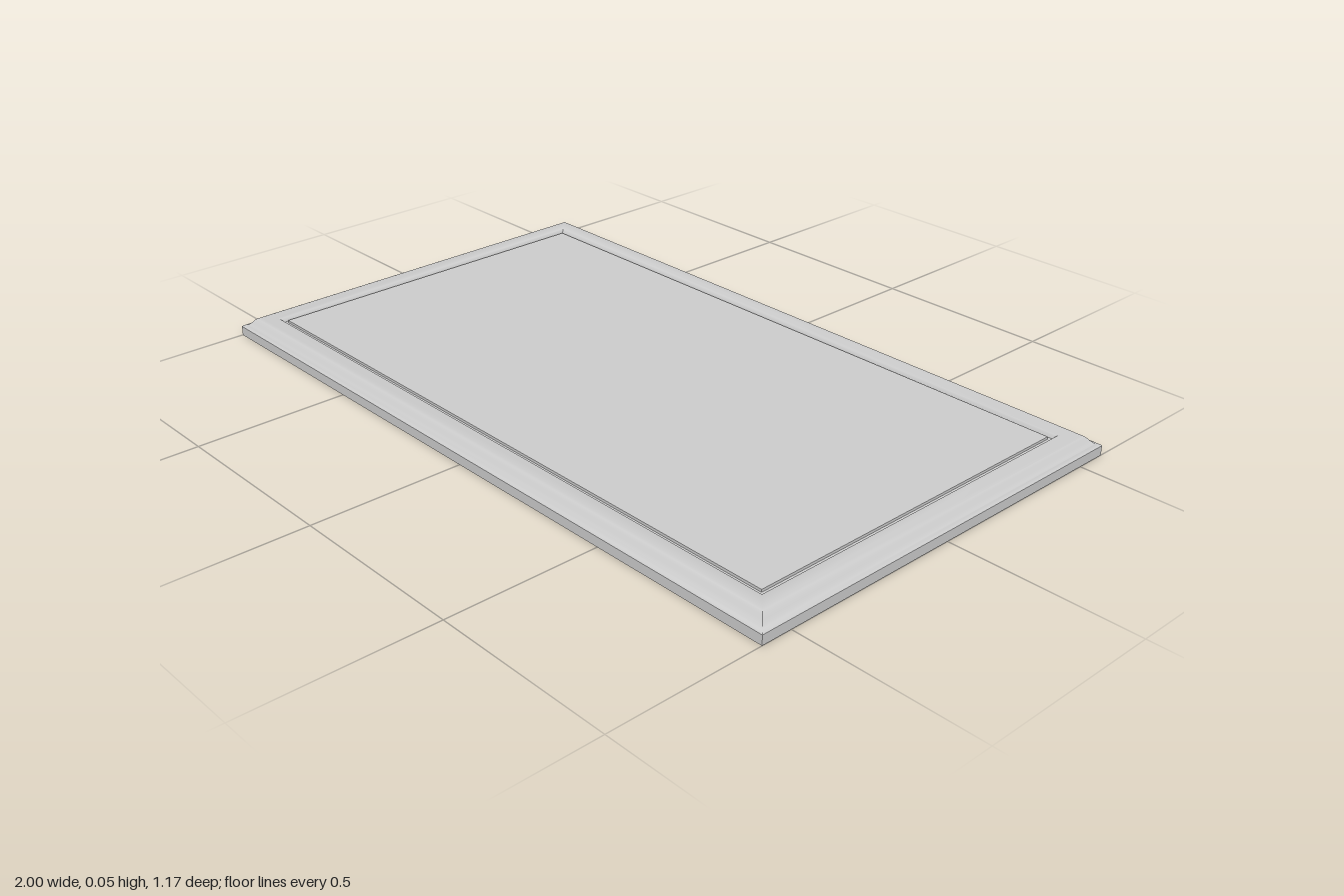
import * as THREE from 'three';
import { toCreasedNormals } from 'three/addons/utils/BufferGeometryUtils.js';

const HALF_X = 1, HALF_Z = 0.585;

// Moulding cross-section: [inset from the outer edge, height]
const PROFILE = [
  [0.096, 0], [0, 0], [0, 0.026], [0.003, 0.029], [0.011, 0.031],
  [0.016, 0.034], [0.022, 0.040], [0.028, 0.047], [0.033, 0.051], [0.040, 0.053],
  [0.071, 0.053], [0.076, 0.051], [0.080, 0.047], [0.083, 0.040], [0.096, 0.040],
];

// Sweep the profile round a rectangle with mitred corners
function mitredFrame(profile) {
  const corners = [[1, 1], [1, -1], [-1, -1], [-1, 1]];
  const point = (c, [inset, y]) => [c[0] * (HALF_X - inset), y, c[1] * (HALF_Z - inset)];
  const positions = [];
  for (let s = 0; s < 4; s++) {
    const c0 = corners[s], c1 = corners[(s + 1) % 4];
    for (let i = 0; i < profile.length - 1; i++) {
      const a = point(c0, profile[i]), b = point(c1, profile[i]);
      const c = point(c1, profile[i + 1]), d = point(c0, profile[i + 1]);
      positions.push(...a, ...b, ...c, ...a, ...c, ...d);
    }
  }
  const geometry = new THREE.BufferGeometry();
  geometry.setAttribute('position', new THREE.Float32BufferAttribute(positions, 3));
  return toCreasedNormals(geometry, THREE.MathUtils.degToRad(38));
}

export function createModel() {
  const group = new THREE.Group();
  group.name = 'framedPanel';
  const material = new THREE.MeshStandardMaterial({ color: 0xcccccc });

  // Moulded border with a stepped outer edge and a rounded inner lip
  const frame = new THREE.Mesh(mitredFrame(PROFILE), material);
  frame.name = 'frame';
  group.add(frame);

  // Flat panel, separated from the lip by a narrow groove
  const inset = 0.093, height = 0.047;
  const panel = new THREE.Mesh(
    new THREE.BoxGeometry(2 * (HALF_X - inset), height, 2 * (HALF_Z - inset)), material);
  panel.name = 'panel';
  panel.position.y = height / 2;
  group.add(panel);

  return group;
}
